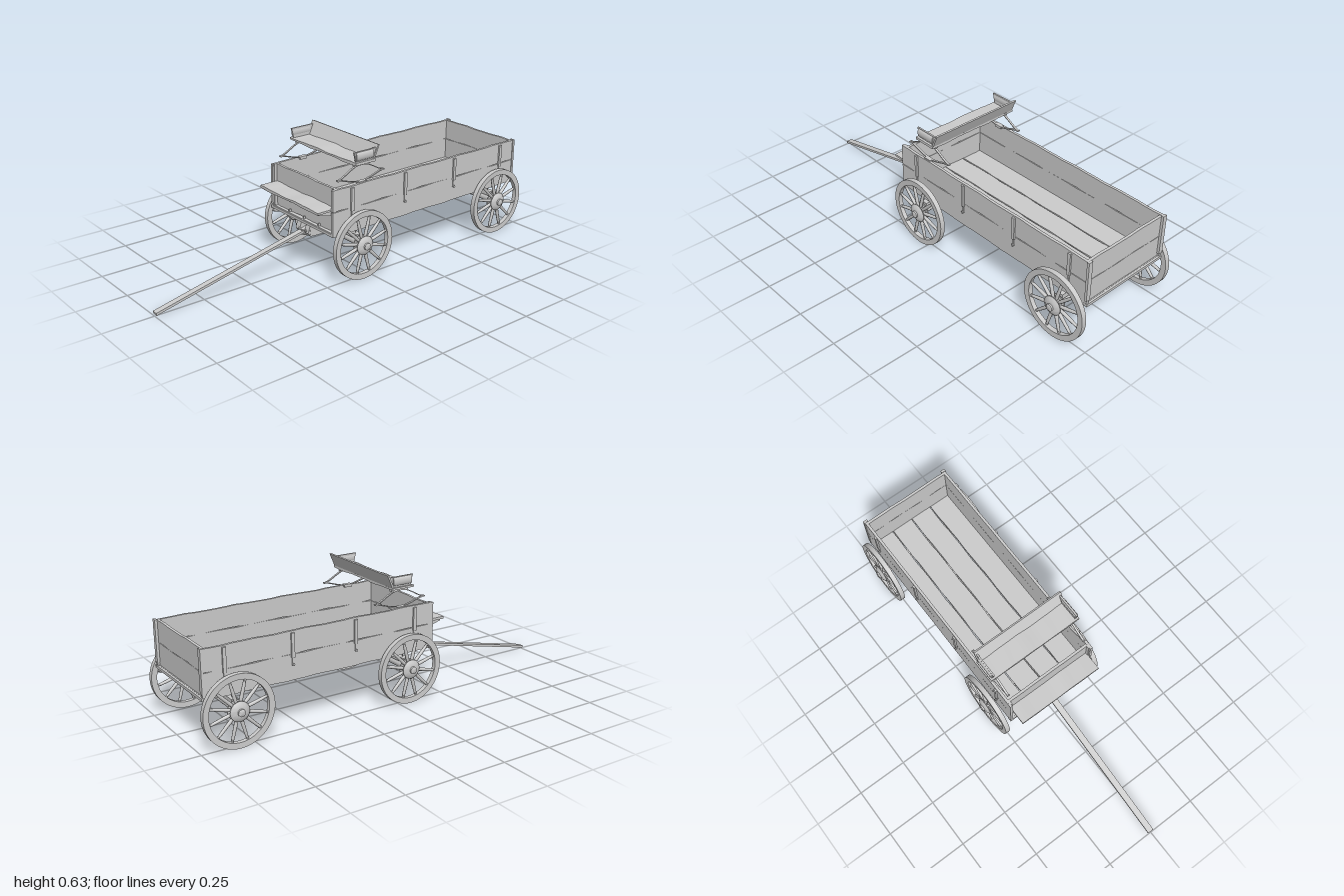
import * as THREE from 'three';
import { toCreasedNormals } from 'three/addons/utils/BufferGeometryUtils.js';

const material = new THREE.MeshStandardMaterial({ color: 0xcccccc, side: THREE.DoubleSide });

function add(parent, name, geometry, x = 0, y = 0, z = 0) {
  const mesh = new THREE.Mesh(geometry, material);
  mesh.name = name;
  mesh.position.set(x, y, z);
  parent.add(mesh);
  return mesh;
}

// Box given by its limits on each axis
function block(parent, name, [x0, x1], [y0, y1], [z0, z1]) {
  return add(parent, name, new THREE.BoxGeometry(x1 - x0, y1 - y0, z1 - z0),
    (x0 + x1) / 2, (y0 + y1) / 2, (z0 + z1) / 2);
}

// Worn plank: its long edges waver slightly along axis 'x' or 'z'
function plank(parent, name, xs, ys, zs, axis, seed, wave = 0.0015) {
  const size = [xs, ys, zs].map(([a, b]) => b - a);
  const g = new THREE.BoxGeometry(...size, axis === 'x' ? 16 : 1, 1, axis === 'z' ? 24 : 1);
  const p = g.attributes.position;
  for (let i = 0; i < p.count; i++) {
    const t = axis === 'x' ? p.getX(i) : p.getZ(i);
    const side = p.getY(i) > 0 ? 1 : 2.3;
    const w = wave * (Math.sin(t * 23 + seed * side) + 0.5 * Math.sin(t * 51 + seed * 3));
    if (size[1] > 0.03 || axis === 'x') p.setY(i, p.getY(i) + w);
    else p.setX(i, p.getX(i) + w);
  }
  g.computeVertexNormals();
  return add(parent, name, toCreasedNormals(g, 0.6), ...[xs, ys, zs].map(([a, b]) => (a + b) / 2));
}

// Turned part around the x axis, profile as [radius, x] pairs
function turned(profile, segments) {
  const g = new THREE.LatheGeometry(profile.map(([r, x]) => new THREE.Vector2(r, x)), segments);
  g.rotateZ(-Math.PI / 2);
  return toCreasedNormals(g, 0.6);
}

// Profile in the z-y plane, extruded across x
function sideProfile(points, x0, x1) {
  const shape = new THREE.Shape(points.map(([z, y]) => new THREE.Vector2(-z, y)));
  const g = new THREE.ExtrudeGeometry(shape, { depth: x1 - x0, bevelEnabled: false });
  g.rotateY(Math.PI / 2);
  g.translate(x0, 0, 0);
  return g;
}

function makeWheel(side, z) {
  const wheel = new THREE.Group();
  wheel.name = 'wheel';
  add(wheel, 'rim', turned([[0.141, -0.011], [0.168, -0.012], [0.168, 0.012], [0.141, 0.011], [0.141, -0.011]], 56));
  add(wheel, 'hub', turned([[0, -0.021], [0.042, -0.021], [0.046, -0.017], [0.046, -0.012], [0.034, -0.01],
    [0.034, 0.01], [0.046, 0.011], [0.046, 0.014], [0.03, 0.025], [0.017, 0.026], [0.017, 0.034],
    [0.014, 0.036], [0, 0.036]], 28));
  const spokeGeometry = new THREE.LatheGeometry([[0.007, 0.03], [0.0085, 0.06], [0.0075, 0.11], [0.006, 0.143]]
    .map(([r, y]) => new THREE.Vector2(r, y)), 8);
  for (let i = 0; i < 12; i++) {
    add(wheel, 'spoke', spokeGeometry).rotation.x = (i + 0.5) * Math.PI / 6;
  }
  wheel.position.set(side * 0.269, 0.17, z);
  wheel.rotation.y = side < 0 ? Math.PI : 0;
  return wheel;
}

// Axle, bolster and pair of wheels
function makeRunningGear(z, name) {
  const gear = new THREE.Group();
  gear.name = name;
  add(gear, 'axle', turned([[0, -0.25], [0.017, -0.25], [0.017, 0.25], [0, 0.25]], 20), 0, 0.172, z);
  block(gear, 'bolster', [-0.24, 0.24], [0.19, 0.213], [z - 0.016, z + 0.016]);
  for (const s of [-1, 1]) {
    add(gear, 'bolsterPin', new THREE.CylinderGeometry(0.003, 0.003, 0.03, 8), s * 0.212, 0.224, z);
    gear.add(makeWheel(s, z));
  }
  return gear;
}

function makeBody() {
  const body = new THREE.Group();
  body.name = 'wagonBox';
  // Floor boards with narrow gaps
  for (let i = 0; i < 4; i++) {
    const x = -0.232 + i * 0.116;
    plank(body, 'floorBoard', [x + 0.0025, x + 0.1135], [0.236, 0.248], [-0.97, 0.2], 'z', i + 1);
  }
  block(body, 'frontSill', [-0.24, 0.24], [0.234, 0.247], [0.185, 0.208]);
  block(body, 'rearSill', [-0.24, 0.24], [0.234, 0.247], [-0.98, -0.962]);
  for (const x of [-0.113, 0, 0.113]) {
    block(body, 'sillPeg', [x - 0.003, x + 0.003], [0.245, 0.26], [0.185, 0.196]);
  }
  for (const s of [-1, 1]) {
    const span = (a, b) => s > 0 ? [a, b] : [-b, -a];
    // Side walls of two planks each
    plank(body, 'lowerSide', span(0.226, 0.239), [0.236, 0.354], [-0.975, 0.208], 'z', 2 + s);
    plank(body, 'upperSide', span(0.226, 0.239), [0.356, 0.46], [-0.975, 0.208], 'z', 5 + s);
    block(body, 'frontPost', span(0.221, 0.236), [0.247, 0.46], [0.185, 0.2]);
    block(body, 'rearPost', span(0.221, 0.243), [0.262, 0.462], [-0.978, -0.966]);
    // Cleats with a strap and bolt hanging below
    for (const z of [0.098, -0.225, -0.548, -0.872]) {
      block(body, 'cleat', span(0.238, 0.247), [0.34, 0.452], [z - 0.008, z + 0.008]);
      block(body, 'strap', span(0.238, 0.243), [0.305, 0.34], [z - 0.004, z + 0.004]);
      add(body, 'bolt', turned([[0, -0.005], [0.006, -0.005], [0.006, 0.005], [0, 0.005]], 10),
        s * 0.244, 0.308, z);
    }
  }
  // End walls
  plank(body, 'frontLower', [-0.226, 0.226], [0.25, 0.354], [0.172, 0.185], 'x', 1);
  plank(body, 'frontUpper', [-0.226, 0.226], [0.356, 0.459], [0.172, 0.185], 'x', 2);
  plank(body, 'tailgateLower', [-0.226, 0.226], [0.248, 0.354], [-0.966, -0.953], 'x', 3);
  plank(body, 'tailgateUpper', [-0.226, 0.226], [0.356, 0.459], [-0.966, -0.953], 'x', 4);
  // Footboard on three brackets
  plank(body, 'footboard', [-0.224, 0.224], [0.358, 0.37], [0.185, 0.282], 'x', 6, 0.002);
  for (const x of [-0.207, 0, 0.207]) {
    add(body, 'footboardBracket', sideProfile([[0.184, 0.33], [0.196, 0.33], [0.27, 0.35], [0.27, 0.36], [0.184, 0.36]],
      x - 0.006, x + 0.006));
  }
  return body;
}

function makeSeat() {
  const seat = new THREE.Group();
  seat.name = 'seat';
  plank(seat, 'seatBoard', [-0.25, 0.25], [0.553, 0.565], [-0.03, 0.085], 'x', 3, 0.002);
  add(seat, 'backrest', sideProfile([[-0.02, 0.563], [-0.03, 0.563], [-0.057, 0.626], [-0.049, 0.628]], -0.245, 0.245));
  for (const s of [-1, 1]) {
    const [x0, x1] = s > 0 ? [0.231, 0.239] : [-0.239, -0.231];
    add(seat, 'seatEnd', sideProfile([[-0.028, 0.564], [0.075, 0.564], [0.087, 0.613], [-0.045, 0.613]], x0, x1));
    // Rounded arm along the outside of each end
    const arm = add(seat, 'armRoll', new THREE.CylinderGeometry(1, 1, 0.1, 14), s * 0.238, 0.591, 0.027);
    arm.rotation.x = Math.PI / 2;
    arm.scale.set(0.009, 1, 0.02);
    block(seat, 'seatBatten', s > 0 ? [0.209, 0.223] : [-0.223, -0.209], [0.54, 0.554], [-0.02, 0.072]);
    // Double leaf spring with swept ends
    for (const [rise, name] of [[0.052, 'upperSpring'], [-0.03, 'lowerSpring']]) {
      const top = [], under = [];
      for (let i = 0; i <= 24; i++) {
        const u = i / 12 - 1;
        const y = 0.492 + rise * Math.pow(0.5 + 0.5 * Math.cos(u * Math.PI), 0.75);
        top.push([0.03 + u * 0.135, y + 0.0025]);
        under.unshift([0.03 + u * 0.135, y - 0.0025]);
      }
      add(seat, name, sideProfile([...top, ...under], s * 0.218 - 0.005, s * 0.218 + 0.005));
    }
    for (const z of [-0.105, 0.165]) {
      add(seat, 'springPin', turned([[0, -0.007], [0.004, -0.007], [0.004, 0.007], [0, 0.007]], 10), s * 0.218, 0.492, z);
    }
    block(seat, 'springFoot', s > 0 ? [0.212, 0.234] : [-0.234, -0.212], [0.452, 0.466], [0.01, 0.05]);
  }
  return seat;
}

function makeTongue() {
  const tongue = new THREE.Group();
  tongue.name = 'tongue';
  add(tongue, 'pole', sideProfile([[0.07, 0.213], [0.07, 0.225], [0.999, 0.021], [0.997, 0.009]], -0.015, 0.015));
  // Hounds on both sides of the pole
  for (const s of [-1, 1]) {
    add(tongue, 'hound', sideProfile([[-0.02, 0.236], [-0.02, 0.2], [0.1, 0.168], [0.19, 0.172], [0.205, 0.19], [0.19, 0.236]],
      s * 0.034 - 0.015, s * 0.034 + 0.015));
  }
  // Curved iron bands under the hounds
  for (const y of [0.178, 0.197]) {
    const curve = new THREE.QuadraticBezierCurve3(new THREE.Vector3(-0.05, y + 0.006, 0.19),
      new THREE.Vector3(0, y - 0.008, 0.225), new THREE.Vector3(0.05, y + 0.006, 0.19));
    add(tongue, 'houndBand', new THREE.TubeGeometry(curve, 16, 0.004, 6));
  }
  return tongue;
}

export function createModel() {
  const wagon = new THREE.Group();
  wagon.name = 'wagon';
  wagon.add(makeBody(), makeSeat(), makeTongue());
  wagon.add(makeRunningGear(0.054, 'frontGear'), makeRunningGear(-0.83, 'rearGear'));
  block(wagon, 'reach', [-0.015, 0.015], [0.216, 0.232], [-0.84, 0.06]);
  return wagon;
}
